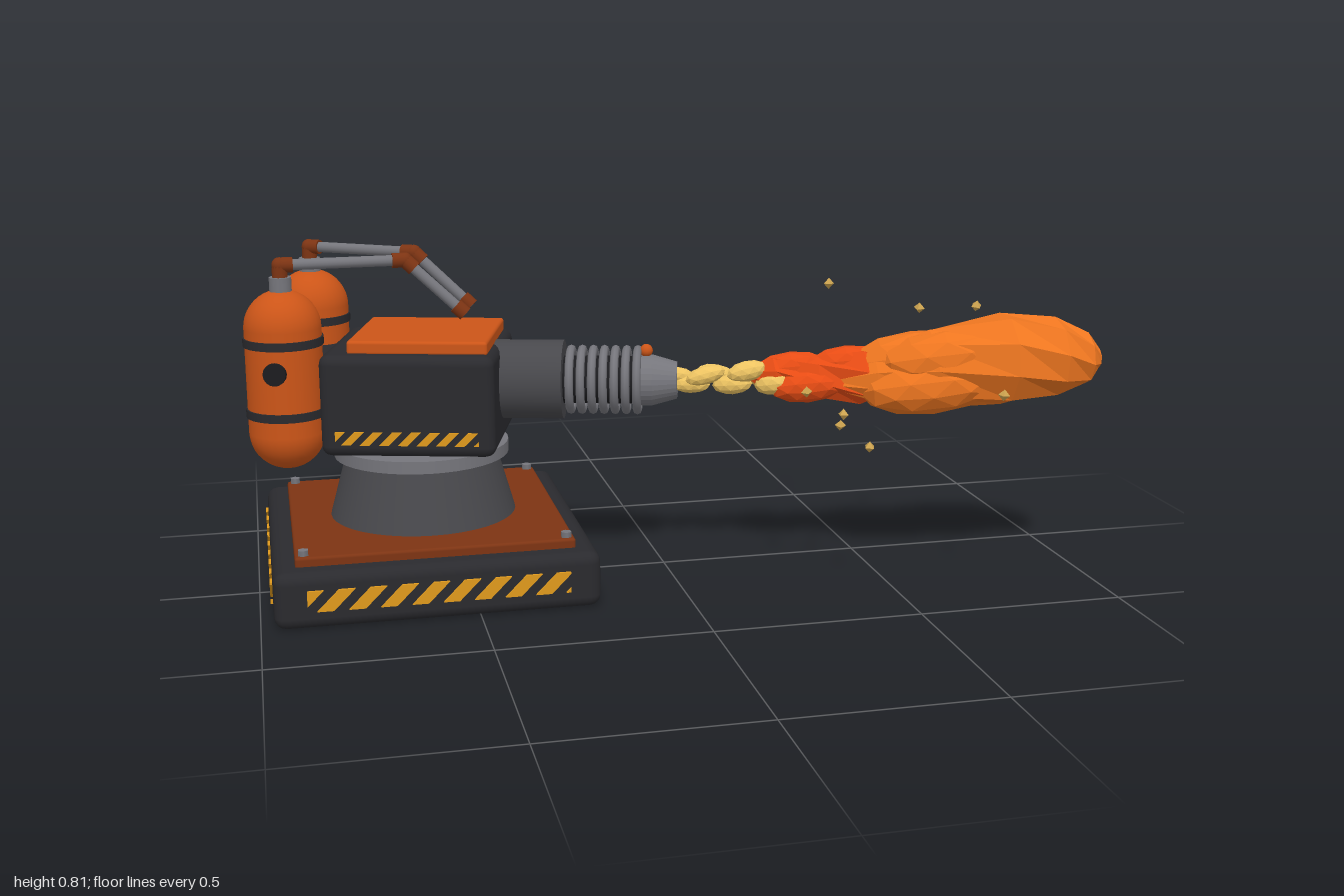
import * as THREE from 'three';
import { RoundedBoxGeometry } from 'three/addons/geometries/RoundedBoxGeometry.js';

const mat = (color, flatShading = false) => new THREE.MeshStandardMaterial({ color, flatShading });
const M = {
  dark: mat(0x2a2a2e), core: mat(0x1c1c1f), iron: mat(0x48484c), steel: mat(0x76767c),
  orange: mat(0xcc5518), brown: mat(0x7d3413), stripe: mat(0xe09a1c),
  flameYellow: mat(0xeec462, true), flameRed: mat(0xe84c14, true), flameOrange: mat(0xee7620, true),
  spark: mat(0xcfa550, true),
};
const V = (x, y, z) => new THREE.Vector3(x, y, z);
const UP = V(0, 1, 0);

function add(parent, name, geometry, material, x = 0, y = 0, z = 0) {
  const mesh = new THREE.Mesh(geometry, material);
  mesh.name = name;
  mesh.position.set(x, y, z);
  parent.add(mesh);
  return mesh;
}

// Cylinder or cone running from point a to point b
function rod(parent, name, a, b, ra, rb, material, sides = 24) {
  const mesh = add(parent, name, new THREE.CylinderGeometry(rb, ra, a.distanceTo(b), sides), material);
  mesh.position.copy(a).add(b).multiplyScalar(0.5);
  mesh.quaternion.setFromUnitVectors(UP, b.clone().sub(a).normalize());
  return mesh;
}

// Keeps the part of a polygon where sign * x <= limit
function clip(points, sign, limit) {
  const out = [];
  points.forEach((p, i) => {
    const q = points[(i + 1) % points.length];
    const dp = limit - sign * p.x, dq = limit - sign * q.x;
    if (dp >= 0) out.push(p);
    if (dp * dq < 0) out.push(p.clone().lerp(q, dp / (dp - dq)));
  });
  return out;
}

// Row of slanted hazard stripes facing +z
function hazardStripes(name, length, height, pitch) {
  const group = new THREE.Group(), shapes = [];
  group.name = name;
  const w = pitch * 0.52, h = height / 2;
  for (let x = -length / 2 - height; x < length / 2; x += pitch) {
    let pts = [[x, -h], [x + w, -h], [x + w + height, h], [x + height, h]].map(p => new THREE.Vector2(...p));
    pts = clip(clip(pts, 1, length / 2), -1, length / 2);
    if (pts.length > 2) shapes.push(new THREE.Shape(pts));
  }
  add(group, 'stripes', new THREE.ExtrudeGeometry(shapes, { depth: 0.008, bevelEnabled: false }), M.stripe);
  return group;
}

// Faceted flame skin through sections [x, y, z, radiusY, radiusZ]
function flameBody(parent, name, sections, sides, material, twist) {
  const n = sections.length - 1;
  const geo = new THREE.CylinderGeometry(1, 1, 1, sides, n);
  const p = geo.attributes.position;
  for (let k = 0; k < p.count; k++) {
    const i = Math.round((p.getY(k) + 0.5) * n), [x, y, z, ry, rz] = sections[i];
    const r = Math.hypot(p.getX(k), p.getZ(k)), a = Math.atan2(p.getX(k), p.getZ(k)) + i * twist;
    p.setXYZ(k, x, y - r * Math.sin(a) * ry, z + r * Math.cos(a) * rz);
  }
  geo.computeVertexNormals();
  add(parent, name, geo, material);
}

// Stretched faceted blob along a direction
function blob(parent, name, center, dir, length, radius, material) {
  const mesh = add(parent, name, new THREE.IcosahedronGeometry(1, 1), material, ...center.toArray());
  mesh.scale.set(radius, length / 2, radius);
  mesh.quaternion.setFromUnitVectors(UP, dir.clone().normalize());
}

function buildBase() {
  const g = new THREE.Group();
  g.name = 'base';
  add(g, 'baseSlab', new RoundedBoxGeometry(0.755, 0.135, 0.755, 2, 0.028), M.dark, 0, 0.0675, 0);
  add(g, 'basePlate', new RoundedBoxGeometry(0.65, 0.03, 0.65, 2, 0.007), M.brown, 0, 0.142, 0);
  for (const x of [-0.305, 0.305]) for (const z of [-0.305, 0.305])
    add(g, 'bolt', new THREE.CylinderGeometry(0.013, 0.013, 0.02, 6), M.steel, x, 0.16, z);
  for (let i = 0; i < 4; i++) {
    const s = hazardStripes('baseStripes', 0.605, 0.05, 0.0715);
    s.rotation.y = i * Math.PI / 2;
    s.position.set(0, 0.07, 0.3755).applyAxisAngle(UP, s.rotation.y);
    g.add(s);
  }
  add(g, 'pedestal', new THREE.CylinderGeometry(0.185, 0.227, 0.15, 40), M.iron, 0, 0.231, 0);
  add(g, 'turntable', new THREE.CylinderGeometry(0.213, 0.213, 0.03, 40), M.steel, 0, 0.32, 0);
  return g;
}

function buildTank(side) {
  const g = new THREE.Group();
  g.name = 'fuelTank';
  g.position.set(-0.293, 0, side * 0.148);
  add(g, 'tankShell', new THREE.CapsuleGeometry(0.09, 0.25, 10, 28), M.orange, 0, 0.518, 0);
  for (const y of [0.442, 0.612])
    add(g, 'tankBand', new THREE.CylinderGeometry(0.094, 0.094, 0.02, 28), M.dark, 0, y, 0);
  rod(g, 'tankGauge', V(0, 0.549, side * 0.07), V(0, 0.549, side * 0.098), 0.027, 0.027, M.core, 16);
  add(g, 'tankNeck', new THREE.CylinderGeometry(0.026, 0.026, 0.04, 16), M.steel, 0, 0.742, 0);
  return g;
}

// Feed pipe from a tank neck to above the roof, with fittings at the joints
function buildPipe(side) {
  const g = new THREE.Group();
  g.name = 'feedPipe';
  const [a, b, c, d] = [V(-0.293, 0.755, side * 0.148), V(-0.293, 0.79, side * 0.148),
    V(-0.015, 0.79, side * 0.061), V(0.125, 0.66, side * 0.054)];
  rod(g, 'pipeRun', b, c, 0.013, 0.013, M.steel, 14);
  rod(g, 'pipeDrop', c, d, 0.013, 0.013, M.steel, 14);
  rod(g, 'riser', a, b, 0.018, 0.018, M.brown, 14);
  const collar = (p, q) => rod(g, 'collar', p, p.clone().add(q.clone().sub(p).setLength(0.03)), 0.018, 0.018, M.brown, 14);
  for (const p of [b, c]) add(g, 'elbow', new THREE.SphereGeometry(0.0185, 14, 10), M.brown, ...p.toArray());
  collar(b, c); collar(c, b); collar(c, d); collar(d, c);
  return g;
}

function buildTurret() {
  const g = new THREE.Group();
  g.name = 'turret';
  add(g, 'turretBody', new RoundedBoxGeometry(0.415, 0.245, 0.38, 2, 0.025), M.dark, 0, 0.46, 0);
  add(g, 'roofPlate', new RoundedBoxGeometry(0.333, 0.034, 0.314, 2, 0.008), M.orange, 0.023, 0.595, 0);
  const s = hazardStripes('bodyStripes', 0.34, 0.032, 0.045);
  s.position.set(0, 0.385, 0.187);
  g.add(s);
  add(g, 'tankBracket', new THREE.BoxGeometry(0.12, 0.05, 0.2), M.dark, -0.25, 0.53, 0);
  for (const side of [-1, 1]) g.add(buildTank(side), buildPipe(side));

  // Barrel: housing, finned core and tapered nozzle
  const Y = 0.49, at = x => V(x, Y, 0);
  rod(g, 'barrelHousing', at(0.18), at(0.355), 0.096, 0.096, M.iron, 32);
  rod(g, 'barrelCore', at(0.35), at(0.55), 0.058, 0.058, M.core, 28);
  for (let i = 0; i < 7; i++) {
    const fin = add(g, 'coolingFin', new THREE.TorusGeometry(0.074, 0.0105, 8, 32), M.steel, 0.372 + i * 0.027, Y, 0);
    fin.rotation.y = Math.PI / 2;
  }
  const nozzle = add(g, 'nozzle', new THREE.LatheGeometry(
    [[0, 0], [0.062, 0], [0.062, 0.03], [0.045, 0.09], [0.034, 0.09], [0.03, 0.05], [0, 0.05]]
      .map(p => new THREE.Vector2(...p)), 28), mat(0x76767c, true), 0.54, Y, 0);
  nozzle.rotation.z = -Math.PI / 2;
  add(g, 'pilotLight', new THREE.SphereGeometry(0.016, 14, 10), M.orange, 0.555, 0.563, 0);
  return g;
}

function buildFlame() {
  const g = new THREE.Group();
  g.name = 'flame';
  // Twisted inner tongues around the jet axis
  const start = V(0, 0.49, 0.062), dir = V(0.27, 0.012, 0.072);
  for (let i = 0; i < 8; i++) {
    const a = i * 2.2 + 2.5, t = 0.06 + i * 0.12, r = 0.013 + 0.009 * t;
    const c = start.clone().addScaledVector(dir, t).add(V(0, Math.sin(a) * r, Math.cos(a) * r));
    blob(g, 'innerTongue', c, dir.clone().add(V(0, Math.cos(a) * 0.07, -Math.sin(a) * 0.07)), 0.1, 0.02 + 0.009 * t, M.flameYellow);
  }
  flameBody(g, 'middleFlame', [[0.19, 0.5, 0.11, 0.015, 0.015], [0.24, 0.5, 0.122, 0.047, 0.04],
    [0.34, 0.497, 0.148, 0.053, 0.05], [0.45, 0.5, 0.175, 0.07, 0.058], [0.56, 0.51, 0.2, 0.045, 0.045]], 7, M.flameRed, 0.5);
  for (const [x, y, z] of [[0.29, 0.515, 0.125], [0.32, 0.48, 0.16], [0.42, 0.53, 0.155], [0.46, 0.475, 0.165]])
    blob(g, 'middleTongue', V(x, y, z), V(1, 0.1, 0.24), 0.19, 0.042, M.flameRed);
  flameBody(g, 'outerFlame', [[0.37, 0.485, 0.175, 0.015, 0.02], [0.47, 0.498, 0.195, 0.06, 0.053],
    [0.6, 0.522, 0.228, 0.097, 0.085], [0.78, 0.545, 0.265, 0.113, 0.106], [0.9, 0.552, 0.29, 0.096, 0.095],
    [0.97, 0.55, 0.31, 0.066, 0.065], [0.998, 0.55, 0.32, 0.027, 0.03]], 9, M.flameOrange, 0.3);
  for (const [x, y, z] of [[0.58, 0.54, 0.2], [0.6, 0.485, 0.25], [0.64, 0.55, 0.25]])
    blob(g, 'outerTongue', V(x, y, z), V(1, 0.12, 0.24), 0.34, 0.07, M.flameOrange);
  return g;
}

function buildSparks() {
  const g = new THREE.Group();
  g.name = 'sparks';
  [[0.45, 0.685, -0.08], [0.61, 0.655, 0.14], [0.69, 0.685, 0.3], [0.7, 0.503, 0.458], [0.4, 0.38, 0.39],
    [0.4, 0.38, 0.18], [0.35, 0.45, 0.345], [0.27, 0.5, 0.31]].forEach((p, i) => {
    const s = add(g, 'spark', new THREE.OctahedronGeometry(0.014), M.spark, ...p);
    s.rotation.set(0.15 * (i % 3), i * 0.9, 0.1 * (i % 2));
  });
  return g;
}

export function createModel() {
  const model = new THREE.Group();
  model.name = 'flameTurret';
  const base = buildBase(), turret = buildTurret();
  for (const part of [base, turret]) part.position.set(-0.592, 0, -0.09);
  turret.rotation.y = -0.268;
  model.add(base, turret, buildFlame(), buildSparks());
  return model;
}
